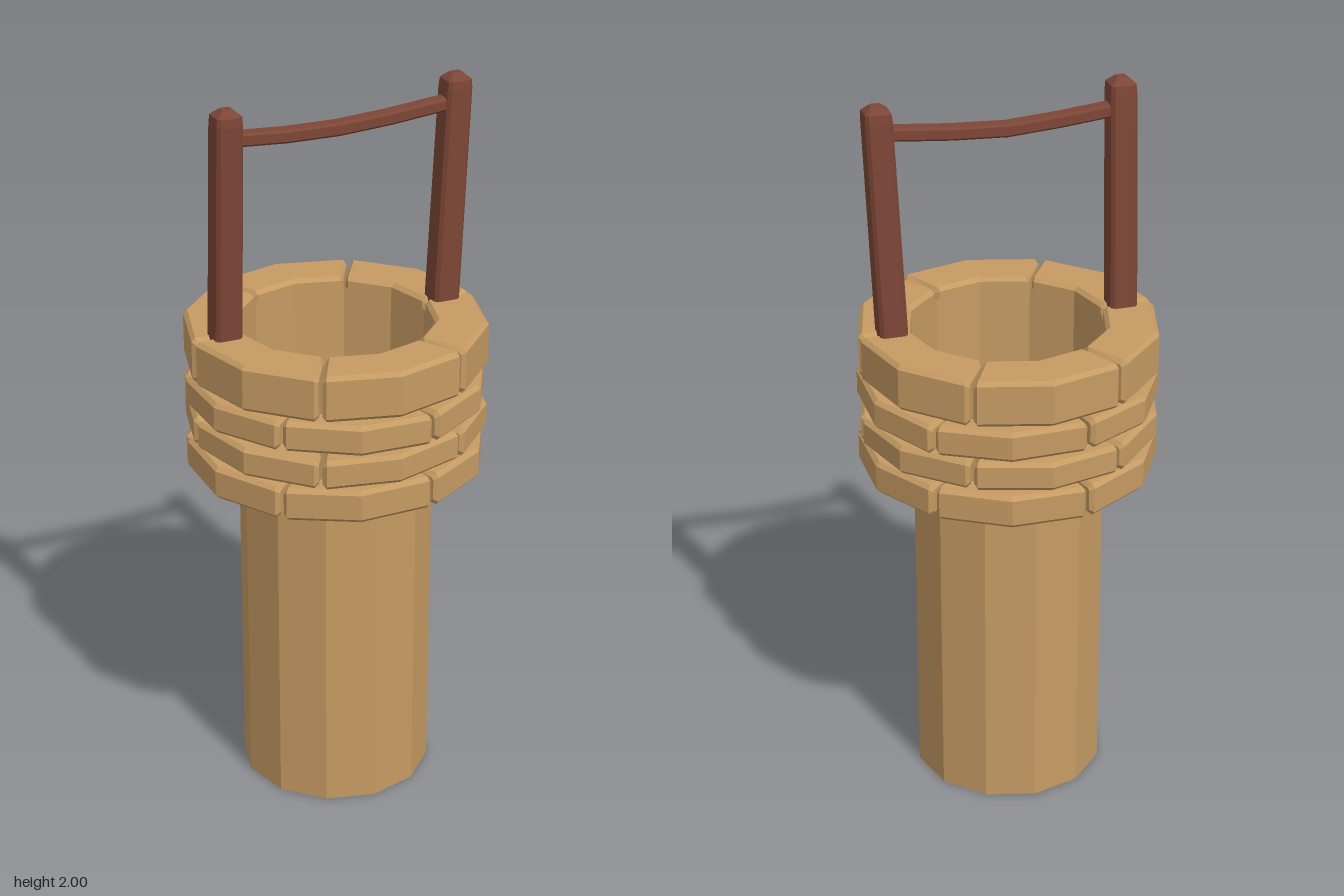
import * as THREE from 'three';

const stone = new THREE.MeshStandardMaterial({ color: 0xc69b63, side: THREE.DoubleSide });
stone.name = 'sandstone';
const wood = new THREE.MeshStandardMaterial({ color: 0x7d4636 });
wood.name = 'darkWood';

// Skins a row of closed cross-sections (arrays of Vector3) with flat facets and end caps.
function loft(sections) {
  const pos = [];
  const tri = (...pts) => pts.forEach((p) => pos.push(p.x, p.y, p.z));
  const n = sections[0].length;
  for (let i = 0; i < sections.length - 1; i++) {
    for (let j = 0; j < n; j++) {
      const k = (j + 1) % n;
      const a = sections[i][j], b = sections[i][k];
      const c = sections[i + 1][k], d = sections[i + 1][j];
      tri(a, d, c);
      tri(a, c, b);
    }
  }
  const first = sections[0], last = sections[sections.length - 1];
  for (let j = 1; j < n - 1; j++) {
    tri(first[0], first[j], first[j + 1]);
    tri(last[0], last[j + 1], last[j]);
  }
  const geo = new THREE.BufferGeometry();
  geo.setAttribute('position', new THREE.Float32BufferAttribute(pos, 3));
  geo.computeVertexNormals();
  return geo;
}

// Counterclockwise rectangle with cut corners, as [u, v] pairs.
function cutRect(u0, u1, v0, v1, c) {
  return [
    [u1, v0 + c], [u1, v1 - c], [u1 - c, v1], [u0 + c, v1],
    [u0, v1 - c], [u0, v0 + c], [u0 + c, v0], [u1 - c, v0],
  ];
}

// One bevelled stone: two straight facets bent around the shaft.
function stoneGeometry(inner, outer, y0, y1, start, tilt) {
  const span = Math.PI / 3, gap = 0.012, bevel = 0.012;
  const stations = [
    [gap, bevel], [gap + 0.028, 0], [span / 2, 0], [span - gap - 0.028, 0], [span - gap, bevel],
  ];
  return loft(stations.map(([t, inset]) => {
    const a = start + t;
    // keep the facets flat between the twelve corners
    const flat = Math.cos(Math.PI / 12) / Math.cos((t % (span / 2 + 1e-9)) - Math.PI / 12);
    const lift = tilt * (t / span - 0.5);
    return cutRect(inner * flat + inset, outer * flat - inset, y0 + inset, y1 - inset, 0.011 - inset * 0.4)
      .map(([r, y]) => new THREE.Vector3(r * Math.sin(a), y + lift, r * Math.cos(a)));
  }));
}

// Four-cornered leaning post with a blunt, faceted tip.
function postGeometry(base, top) {
  const levels = [[0, 0.038], [0.94, 0.036], [0.975, 0.034], [1, 0.014]];
  return loft(levels.map(([t, h]) => {
    const p = new THREE.Vector3().lerpVectors(base, top, t);
    return cutRect(-h, h, -h, h, h * 0.25)
      .map(([x, z]) => new THREE.Vector3(p.x + x, p.y, p.z + z));
  }));
}

function add(parent, name, geometry, material) {
  const mesh = new THREE.Mesh(geometry, material);
  mesh.name = name;
  parent.add(mesh);
  return mesh;
}

export function createModel() {
  const model = new THREE.Group();
  model.name = 'well';

  // Open shaft with a closed floor
  const wall = new THREE.CylinderGeometry(0.266, 0.266, 1.34, 12, 1, true).toNonIndexed();
  wall.computeVertexNormals();
  add(model, 'shaft', wall, stone).position.y = 0.67;
  const floor = new THREE.CircleGeometry(0.266, 12);
  floor.rotateX(Math.PI / 2);
  floor.rotateY(Math.PI / 6);
  add(model, 'floor', floor, stone);

  // Four courses of six stones, staggered by a quarter stone
  const courses = [
    { name: 'lowerCourse', y0: 0.953, y1: 1.045, inner: 0.33, turn: 15, tilt: 0.004 },
    { name: 'secondCourse', y0: 1.055, y1: 1.136, inner: 0.33, turn: 30, tilt: 0.012 },
    { name: 'thirdCourse', y0: 1.146, y1: 1.23, inner: 0.33, turn: 15, tilt: -0.012 },
    { name: 'rimCourse', y0: 1.242, y1: 1.37, inner: 0.268, turn: 30, tilt: 0 },
  ];
  for (const c of courses) {
    const ring = new THREE.Group();
    ring.name = c.name;
    for (let i = 0; i < 6; i++) {
      const start = THREE.MathUtils.degToRad(c.turn + i * 60);
      const tilt = i % 2 ? c.tilt : -c.tilt * 0.6;
      add(ring, 'stone', stoneGeometry(c.inner, 0.411, c.y0, c.y1, start, tilt), stone);
    }
    model.add(ring);
  }

  // Leaning posts
  const v = (x, y, z) => new THREE.Vector3(x, y, z);
  add(model, 'rightPost', postGeometry(v(-0.32, 1.32, 0.002), v(-0.318, 2, 0.038)), wood);
  add(model, 'leftPost', postGeometry(v(0.317, 1.32, 0), v(0.346, 2, 0.004)), wood);

  // Sagging crossbar
  const bar = [[-0.32, 1.918, 0.033], [-0.15, 1.904, 0.024], [0, 1.898, 0.012], [0.15, 1.906, 0.009], [0.34, 1.924, 0.006]];
  add(model, 'crossbar', loft(bar.map(([x, y, z]) =>
    cutRect(-0.022, 0.022, -0.018, 0.018, 0.006).map(([dz, dy]) => v(x, y + dy, z + dz)))), wood);

  return model;
}
